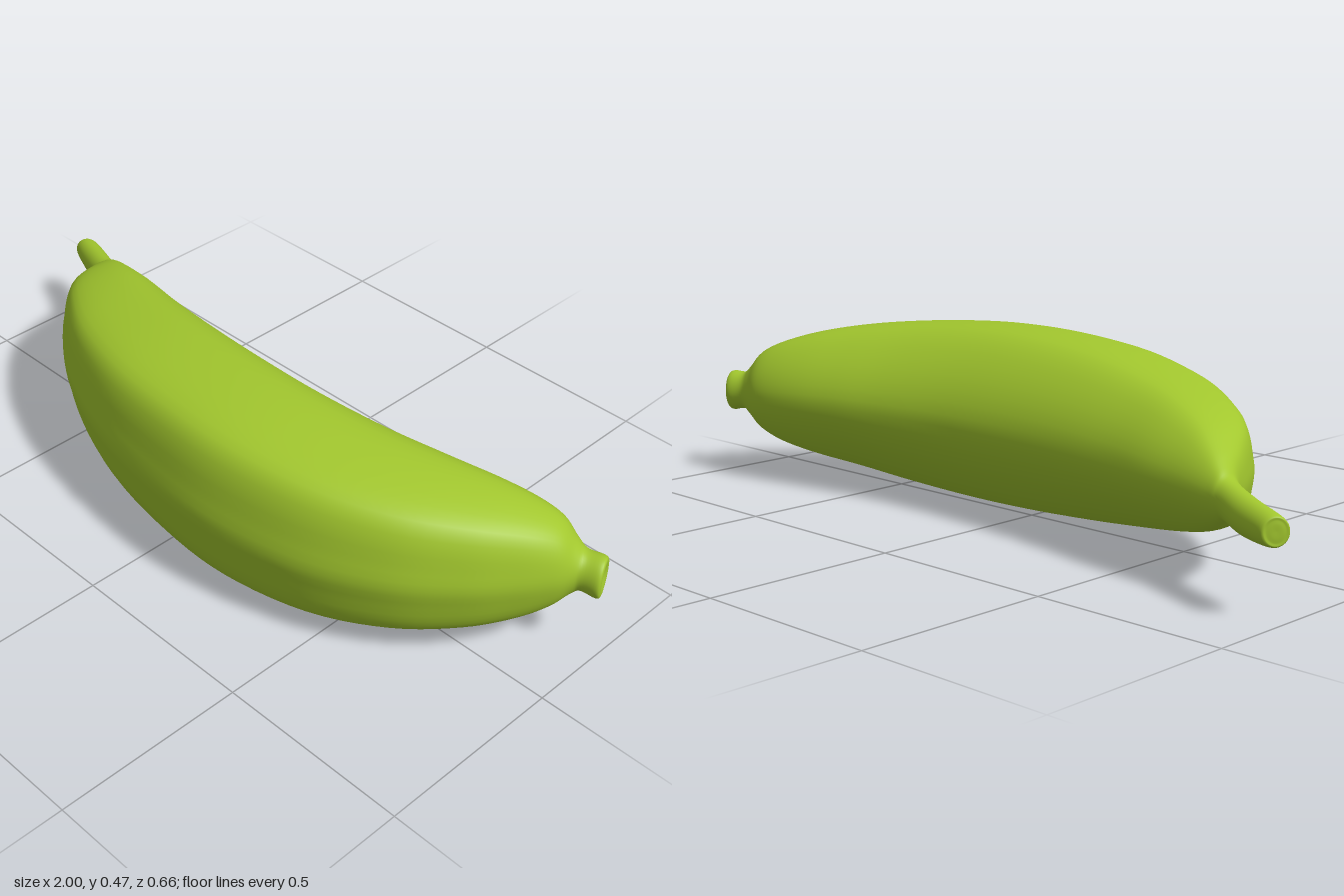
import * as THREE from 'three';

// Cross-sections from stem to tip:
// [back x, back z, front x, front z, bottom y, top y, ridge strength]
const STEM = [
  [-0.985, -0.308, -0.985, -0.308, 0.2, 0.2, 0],
  [-0.972, -0.322, -0.998, -0.292, 0.175, 0.222, 0],
  [-0.955, -0.33, -0.995, -0.278, 0.163, 0.234, 0],
  [-0.87, -0.3, -0.9, -0.234, 0.162, 0.248, 0],
  [-0.805, -0.27, -0.815, -0.193, 0.174, 0.264, 0.1],
];
const BODY = [
  [-0.778, -0.263, -0.787, -0.165, 0.163, 0.285, 0.3],
  [-0.73, -0.257, -0.755, -0.095, 0.138, 0.317, 0.6],
  [-0.65, -0.246, -0.7, 0, 0.108, 0.357, 0.9],
  [-0.55, -0.232, -0.6, 0.092, 0.082, 0.39, 1],
  [-0.4, -0.205, -0.44, 0.197, 0.052, 0.421, 1],
  [-0.2, -0.18, -0.22, 0.28, 0.023, 0.45, 1],
  [0, -0.167, 0.02, 0.318, 0.006, 0.465, 1],
  [0.2, -0.167, 0.24, 0.323, 0.003, 0.467, 1],
  [0.38, -0.185, 0.48, 0.28, 0.018, 0.455, 1],
  [0.53, -0.211, 0.67, 0.192, 0.045, 0.437, 1],
  [0.66, -0.235, 0.8, 0.08, 0.07, 0.413, 0.9],
  [0.76, -0.248, 0.88, -0.02, 0.098, 0.384, 0.7],
  [0.83, -0.249, 0.925, -0.09, 0.13, 0.352, 0.4],
  [0.88, -0.237, 0.945, -0.135, 0.165, 0.31, 0.1],
];
const TIP = [
  [0.915, -0.232, 0.96, -0.15, 0.184, 0.289, 0],
  [0.955, -0.242, 0.995, -0.16, 0.178, 0.289, 0],
  [0.972, -0.238, 1, -0.172, 0.184, 0.282, 0],
  [0.975, -0.222, 0.99, -0.188, 0.208, 0.258, 0],
  [0.976, -0.205, 0.976, -0.205, 0.233, 0.233, 0],
];

const AROUND = 48, STEPS = 5;

// Ridged outline, upper half from front ridge to back (depth 0..1, height 0..1)
const half = [[1, 0], [0.975, 0.3], [0.94, 0.63], [0.87, 0.86], [0.72, 0.965],
  [0.47, 1], [0.32, 0.94], [0.17, 0.7], [0.05, 0.36], [0, 0]];
const ridged = new THREE.CatmullRomCurve3(
  [...half, ...half.slice(1, -1).reverse().map(([u, v]) => [u, -v])]
    .map(([u, v]) => new THREE.Vector3(u, v, 0)), true);

// Smooth interpolation of all section values between rows
function sectionAt(rows, s) {
  const i = Math.min(Math.floor(s), rows.length - 2), f = s - i;
  const row = (k) => rows[THREE.MathUtils.clamp(k, 0, rows.length - 1)];
  return row(i).map((b, k) => {
    const a = row(i - 1)[k], c = row(i + 1)[k], d = row(i + 2)[k];
    const m0 = (c - a) / 2, m1 = (d - b) / 2;
    return b + m0 * f + (3 * (c - b) - 2 * m0 - m1) * f * f + (2 * (b - c) + m0 + m1) * f ** 3;
  });
}

export function createModel() {
  const group = new THREE.Group();
  group.name = 'fruit';
  const rows = [...STEM, ...BODY, ...TIP];
  const rings = (rows.length - 1) * STEPS;
  const positions = [];

  // Rings of points lofted along the curved fruit
  for (let r = 0; r <= rings; r++) {
    const [bx, bz, fx, fz, y0, y1, ridge] = sectionAt(rows, r / STEPS);
    for (let j = 0; j < AROUND; j++) {
      const t = j / AROUND, a = t * Math.PI * 2;
      const p = ridged.getPoint(t);
      const u = THREE.MathUtils.lerp(0.5 + 0.5 * Math.cos(a), p.x, ridge);
      const v = THREE.MathUtils.lerp(Math.sin(a), p.y, ridge);
      positions.push(bx + (fx - bx) * u, (y0 + y1) / 2 + v * (y1 - y0) / 2, bz + (fz - bz) * u);
    }
  }

  const stripIndex = (from, to) => {
    const index = [];
    for (let r = from; r < to; r++) {
      for (let j = 0; j < AROUND; j++) {
        const k = (j + 1) % AROUND;
        const a = r * AROUND + j, b = a + AROUND, c = r * AROUND + k, d = c + AROUND;
        index.push(a, b, c, b, d, c);
      }
    }
    return index;
  };

  const skin = new THREE.BufferGeometry();
  skin.setAttribute('position', new THREE.Float32BufferAttribute(positions, 3));
  skin.setIndex(stripIndex(0, rings));
  skin.computeVertexNormals();

  // Parts share the skin's normals, so the joins stay smooth
  const material = new THREE.MeshStandardMaterial({ color: 0xa2c72e });
  const stemEnd = STEM.length * STEPS, bodyEnd = (STEM.length + BODY.length) * STEPS;
  const parts = { stem: [0, stemEnd], body: [stemEnd, bodyEnd], blossomTip: [bodyEnd, rings] };
  for (const [name, [from, to]] of Object.entries(parts)) {
    const geometry = skin.clone();
    geometry.setIndex(stripIndex(from, to));
    const mesh = new THREE.Mesh(geometry, material);
    mesh.name = name;
    group.add(mesh);
  }
  return group;
}
